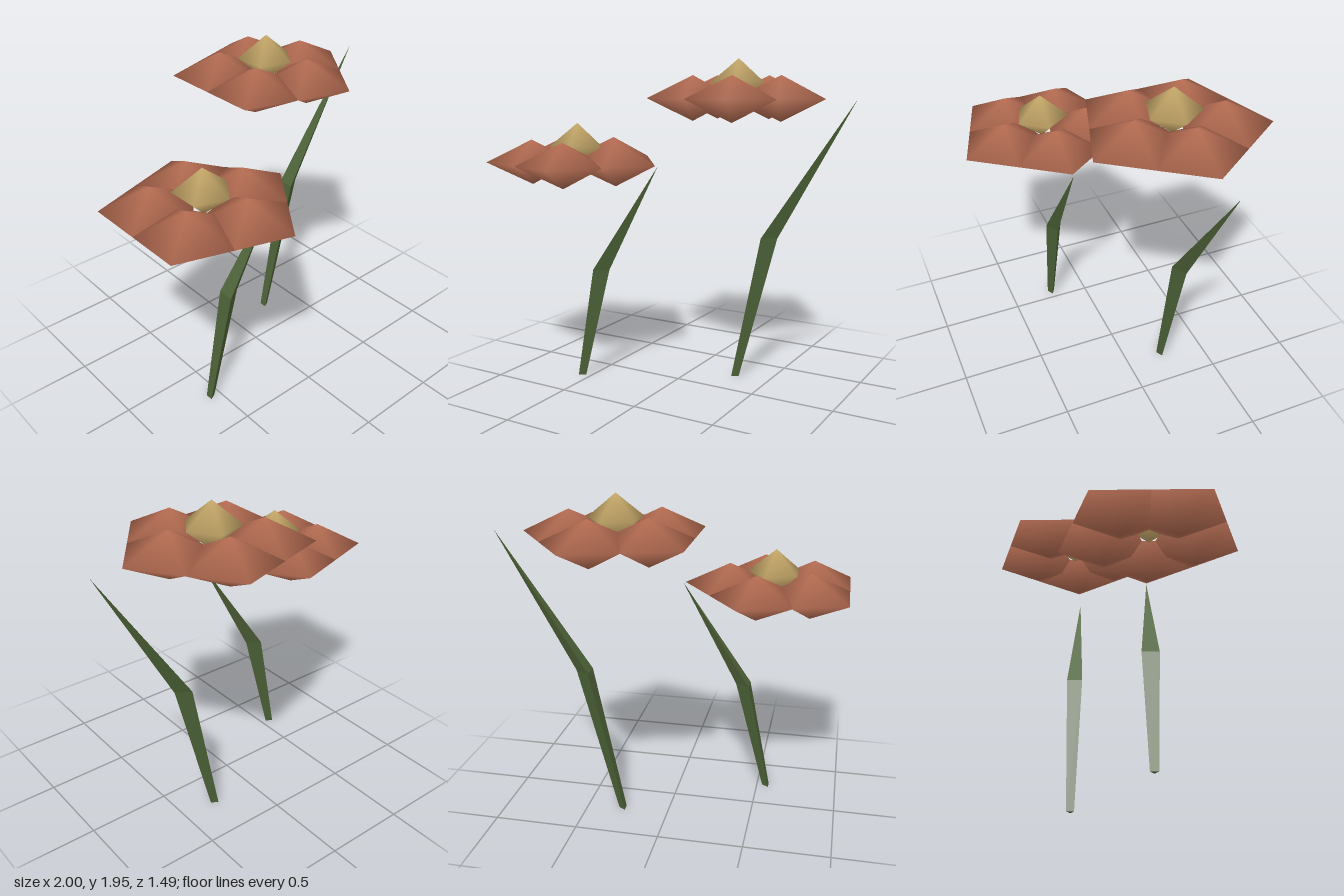
import * as THREE from 'three';

const petalMat = new THREE.MeshStandardMaterial({ color: 0xb86e53 });
petalMat.name = 'terracotta petal';
const heartMat = new THREE.MeshStandardMaterial({ color: 0xc8aa6a });
heartMat.name = 'straw yellow';
const stemMat = new THREE.MeshStandardMaterial({ color: 0x4c6237 });
stemMat.name = 'leaf green';

// Smooth five-sided double pyramid with one corner towards +x
function bud(radius, halfHeight) {
  return new THREE.SphereGeometry(radius, 5, 2)
    .rotateY(Math.PI)
    .scale(1, halfHeight / radius, 1);
}

// Three-sided bent stem from horizontal sections [x, y, radius], ending in a point
function stemGeometry(sections) {
  const rings = sections.map(([x, y, r]) => [0, 1, 2].map((i) => {
    const a = (i * Math.PI * 2) / 3;
    return [x + r * Math.cos(a), y, -r * Math.sin(a)];
  }));
  const pos = [];
  const tri = (...corners) => corners.forEach((c) => pos.push(...c));
  for (let k = 0; k < rings.length - 1; k++) {
    for (let i = 0; i < 3; i++) {
      const j = (i + 1) % 3;
      const [a, b, c, d] = [rings[k][i], rings[k][j], rings[k + 1][j], rings[k + 1][i]];
      tri(a, b, c);
      if (sections[k + 1][2] > 0) tri(a, c, d);
      else pos.splice(-3, 3, ...d);
    }
  }
  tri(rings[0][2], rings[0][1], rings[0][0]); // foot cap
  const g = new THREE.BufferGeometry();
  g.setAttribute('position', new THREE.Float32BufferAttribute(pos, 3));
  g.computeVertexNormals(); // unshared corners keep the sides flat
  return g;
}

function flower(name, x, z, headY, bend, tip) {
  const g = new THREE.Group();
  g.name = name;
  g.position.set(x, 0, z);

  const add = (part, geo, mat, px = 0, py = 0, pz = 0) => {
    const m = new THREE.Mesh(geo, mat);
    m.name = part;
    m.position.set(px, py, pz);
    g.add(m);
  };

  // Stem leaning towards +x
  add('stem', stemGeometry([[0, 0, 0.027], [...bend, 0.0567], [tip, headY, 0]]), stemMat);

  // Ring of five petals, all turned the same way
  const petal = bud(0.271, 0.133);
  for (let i = 0; i < 5; i++) {
    const a = (i * Math.PI * 2) / 5;
    add('petal' + (i + 1), petal, petalMat, 0.271 * Math.cos(a), headY, 0.271 * Math.sin(a));
  }

  // Flower centre
  add('flowerCentre', bud(0.163, 0.136), heartMat, 0, headY + 0.094, 0);
  return g;
}

export function createModel() {
  const model = new THREE.Group();
  model.name = 'flowers';
  model.add(
    flower('shortFlower', -0.561, 0.23, 1.343, [0.16, 0.7], 0.56),
    flower('tallFlower', 0.278, -0.23, 1.72, [0.21, 0.9], 0.722),
  );
  return model;
}
